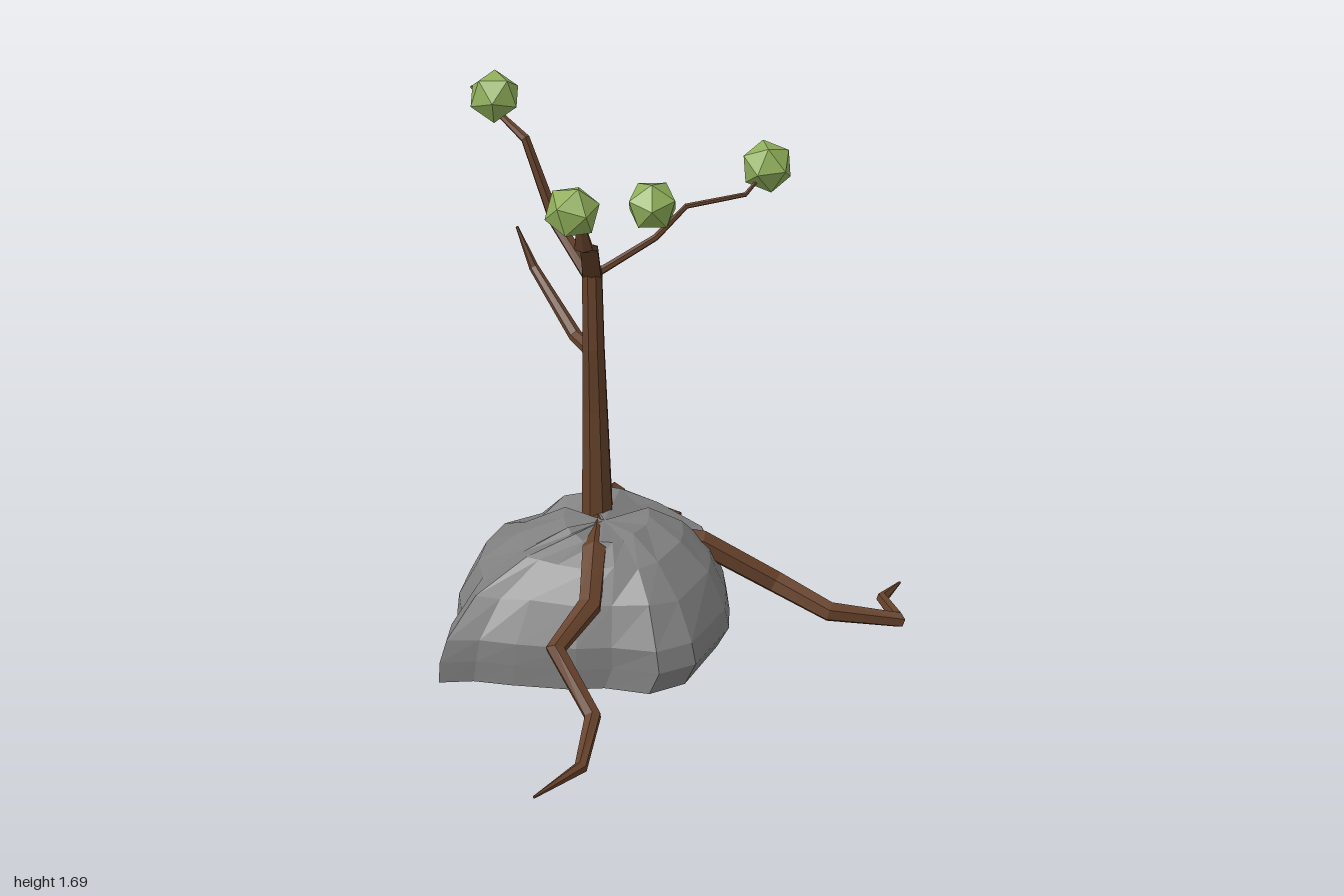
import * as THREE from 'three';

const bark = new THREE.MeshStandardMaterial({ color: 0x65412a });
bark.name = 'bark brown';
const stone = new THREE.MeshStandardMaterial({ color: 0x808080 });
stone.name = 'stone grey';
const leaf = new THREE.MeshStandardMaterial({ color: 0x8fae5a });
leaf.name = 'leaf green';

// Faceted skin over closed rings of points, with both ends capped
function loft(rings) {
  const n = rings[0].length, pos = [];
  const tri = (...pts) => pts.forEach((p) => pos.push(p.x, p.y, p.z));
  const middle = (ring) => ring.reduce((s, p) => s.add(p), new THREE.Vector3()).divideScalar(n);
  for (let i = 0; i < rings.length - 1; i++) {
    for (let j = 0; j < n; j++) {
      const k = (j + 1) % n;
      tri(rings[i][j], rings[i][k], rings[i + 1][k]);
      tri(rings[i][j], rings[i + 1][k], rings[i + 1][j]);
    }
  }
  const first = rings[0], last = rings[rings.length - 1];
  const c0 = middle(first), c1 = middle(last);
  for (let j = 0; j < n; j++) {
    const k = (j + 1) % n;
    tri(c0, first[k], first[j]);
    tri(c1, last[j], last[k]);
  }
  const g = new THREE.BufferGeometry();
  g.setAttribute('position', new THREE.Float32BufferAttribute(pos, 3));
  g.computeVertexNormals();
  return g;
}

// Angular limb along a path of [x, y, z, radius]; wide stretches it sideways
function limb(path, sides = 6, wide = 1) {
  const pts = path.map((p) => new THREE.Vector3(p[0], p[1], p[2]));
  const dir = (a, b) => pts[b].clone().sub(pts[a]).normalize();
  const side = new THREE.Vector3(1, 0, 0);
  if (Math.abs(dir(0, 1).x) > 0.8) side.set(0, 0, 1);
  const rings = pts.map((p, i) => {
    const t = dir(Math.max(i - 1, 0), i || 1);
    if (i < pts.length - 1) t.add(dir(i, i + 1)).normalize();
    side.addScaledVector(t, -side.dot(t)).normalize();
    const up = t.clone().cross(side);
    return Array.from({ length: sides }, (_, j) => {
      const a = ((j + 0.5) / sides) * Math.PI * 2, r = path[i][3];
      return p.clone()
        .addScaledVector(side, Math.cos(a) * r * wide)
        .addScaledVector(up, Math.sin(a) * r);
    });
  });
  return loft(rings);
}

// Boulder: a ground outline fitted to smaller, rounder extents upwards, with a notch across the top
function boulder() {
  const outline = [
    [-0.68, 0.41], [-0.67, 0.3], [-0.64, 0.25], [-0.66, 0.1], [-0.64, -0.05], [-0.59, -0.18],
    [-0.47, -0.29], [-0.26, -0.39], [-0.18, -0.35], [-0.02, -0.26], [0.09, -0.18], [0.11, -0.07],
    [0.12, 0.06], [0.12, 0.18], [0.03, 0.4], [-0.07, 0.46], [-0.2, 0.43], [-0.3, 0.44],
    [-0.47, 0.42], [-0.58, 0.4],
  ].reverse();
  // Height, x from, x to, z from, z to, roundness
  const levels = [
    [0.07, -0.68, 0.11, -0.39, 0.46, 0], [0.135, -0.675, 0.145, -0.38, 0.46, 0],
    [0.2, -0.665, 0.135, -0.35, 0.455, 0.1], [0.31, -0.6, 0.09, -0.28, 0.4, 0.3],
    [0.395, -0.47, 0.01, -0.19, 0.33, 0.6], [0.44, -0.34, -0.09, -0.12, 0.25, 1],
  ];
  const { lerp } = THREE.MathUtils;
  return loft(levels.map(([y, x0, x1, z0, z1, round], i) => outline.map(([x, z], j) => {
    // Position on the outline, from -1 to 1 both ways
    const u = (x + 0.28) / 0.4, v = (z - 0.035) / 0.425;
    const a = Math.atan2(v, u);
    const rough = i > 2 ? Math.sin(j * 2.4 + i * 1.7) * 0.006 : 0;
    const p = new THREE.Vector3(
      (x0 + x1) / 2 + lerp(u, Math.cos(a), round) * (x1 - x0) / 2,
      y + rough,
      (z0 + z1) / 2 + lerp(v, Math.sin(a), round) * (z1 - z0) / 2,
    );
    if (i > 3) p.y -= 0.07 * Math.exp(-(((p.z + 0.045) / 0.035) ** 2));
    return p;
  })));
}

export function createModel() {
  const model = new THREE.Group();
  const add = (name, geometry, material) => {
    const mesh = new THREE.Mesh(geometry, material);
    mesh.name = name;
    model.add(mesh);
    return mesh;
  };

  add('boulder', boulder(), stone);

  add('trunk', limb([
    [-0.245, 0.28, 0, 0.05], [-0.245, 0.45, 0, 0.047], [-0.247, 0.75, 0.003, 0.038],
    [-0.248, 0.95, 0.022, 0.033], [-0.25, 1.19, 0.015, 0.03],
  ], 8), bark);

  // Roots draped over the boulder
  add('frontRoot', limb([
    [-0.24, 0.38, 0, 0.045], [-0.24, 0.415, 0.26, 0.038], [-0.245, 0.33, 0.42, 0.035],
    [-0.335, 0.25, 0.53, 0.03], [-0.225, 0.125, 0.68, 0.025], [-0.25, 0.06, 0.84, 0.019],
    [-0.365, 0.065, 1, 0.004],
  ]), bark);
  add('backRoot', limb([
    [-0.245, 0.38, 0, 0.045], [-0.205, 0.385, -0.18, 0.037], [-0.24, 0.275, -0.35, 0.034],
    [-0.165, 0.055, -0.52, 0.024], [-0.03, 0.022, -0.77, 0.016], [-0.28, 0.017, -1, 0.004],
  ]), bark);
  add('leftRoot', limb([
    [-0.245, 0.36, 0, 0.045], [0.06, 0.315, -0.01, 0.038], [0.28, 0.18, -0.02, 0.035],
    [0.44, 0.125, 0.06, 0.031], [0.645, 0.09, 0.04, 0.024], [0.605, 0.07, -0.13, 0.018],
    [0.665, 0.05, -0.27, 0.004],
  ]), bark);

  // Branches
  add('tallBranch', limb([
    [-0.247, 1.15, 0.015, 0.024], [-0.36, 1.285, -0.1, 0.019], [-0.44, 1.525, -0.115, 0.014],
    [-0.61, 1.61, -0.325, 0.004],
  ]), bark);
  add('frontBranch', limb([
    [-0.25, 1.16, 0.015, 0.015], [-0.25, 1.295, 0.14, 0.014], [-0.25, 1.39, 0.385, 0.014],
    [-0.255, 1.47, 0.415, 0.006],
  ], 6, 2), bark);
  add('leftBranch', limb([
    [-0.247, 1.165, 0.015, 0.012], [-0.07, 1.28, 0.01, 0.01], [0.015, 1.37, 0, 0.008],
    [0.18, 1.395, -0.03, 0.007], [0.24, 1.45, -0.09, 0.004],
  ]), bark);
  add('lowBranch', limb([
    [-0.25, 0.935, 0.02, 0.024], [-0.305, 0.95, -0.06, 0.02], [-0.43, 1.115, -0.175, 0.014],
    [-0.478, 1.23, -0.2, 0.004],
  ]), bark);

  // Leaf clusters
  [[-0.53, 1.63, -0.175], [-0.277, 1.503, 0.415], [-0.08, 1.37, -0.005], [0.24, 1.458, -0.092]]
    .forEach(([x, y, z], i) => {
      const ball = add('leafCluster' + (i + 1), new THREE.IcosahedronGeometry(0.076, 0), leaf);
      ball.position.set(x, y, z);
      ball.rotation.set(0.55, i * 0.8, 0.2 * i);
    });

  return model;
}
